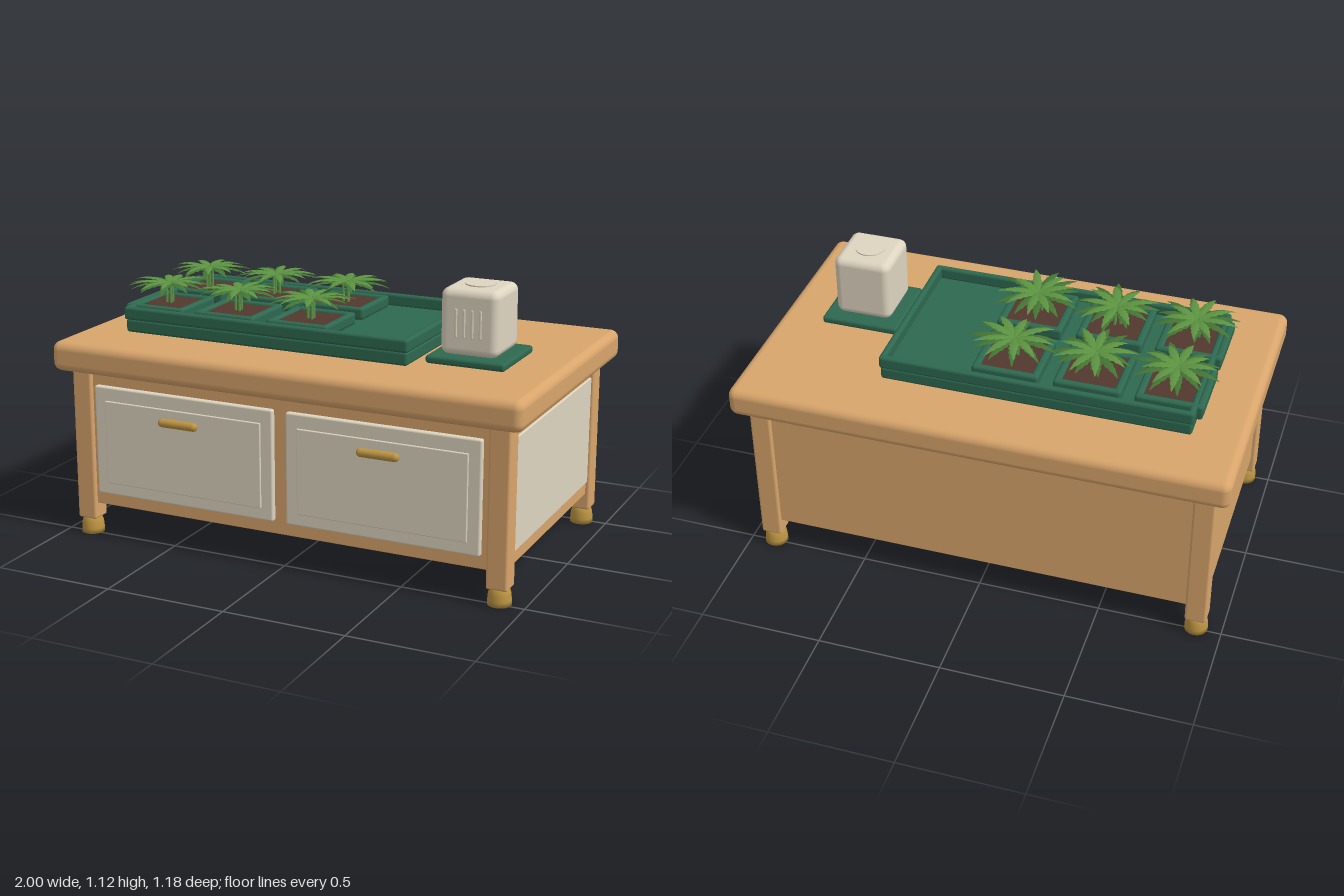
import * as THREE from 'three';
import { RoundedBoxGeometry } from 'three/addons/geometries/RoundedBoxGeometry.js';

const mat = (name, color, side = THREE.FrontSide) => {
  const m = new THREE.MeshStandardMaterial({ color, side });
  m.name = name;
  return m;
};

export function createModel() {
  const wood = mat('wood', 0xd8a56b);
  const cream = mat('cream', 0xded5c0);
  const green = mat('trayGreen', 0x2e6850);
  const brass = mat('brass', 0xbd9542);
  const soil = mat('soil', 0x52382e);
  const leafLight = mat('leafLight', 0x5c9341, THREE.DoubleSide);
  const leafDark = mat('leafDark', 0x447534, THREE.DoubleSide);
  const stemGreen = mat('stemGreen', 0x5f9449);

  const model = new THREE.Group();
  model.name = 'pottingTable';

  const add = (name, geometry, material, parent = model) => {
    const mesh = new THREE.Mesh(geometry, material);
    mesh.name = name;
    parent.add(mesh);
    return mesh;
  };
  // Rounded box given by its extents on each axis
  const box = (name, material, [x0, x1], [y0, y1], [z0, z1], r = 0.008, parent = model) => {
    const mesh = add(name, new RoundedBoxGeometry(x1 - x0, y1 - y0, z1 - z0, 3, r), material, parent);
    mesh.position.set((x0 + x1) / 2, (y0 + y1) / 2, (z0 + z1) / 2);
    return mesh;
  };

  // Table top and cabinet body
  box('tableTop', wood, [-1, 1], [0.7, 0.822], [-0.592, 0.592], 0.035);
  box('cabinetBody', wood, [-0.922, 0.922], [0.135, 0.696], [-0.517, 0.515], 0.004);
  box('sidePanel', cream, [0.91, 0.93], [0.19, 0.642], [-0.446, 0.446], 0.004);

  // Legs with tapered brass feet
  const footProfile = [[0, 0], [0.047, 0], [0.0465, 0.02], [0.044, 0.045], [0.039, 0.062], [0.033, 0.07], [0, 0.07]]
    .map(([r, y]) => new THREE.Vector2(r, y));
  for (const sx of [-1, 1]) for (const sz of [-1, 1]) {
    const leg = box('leg', wood, [-0.043, 0.043], [0.066, 0.705], [-0.043, 0.043], 0.01);
    leg.position.x = sx * 0.897;
    leg.position.z = sz * 0.49;
    add('foot', new THREE.LatheGeometry(footProfile, 24), brass).position.set(sx * 0.897, 0, sz * 0.49);
  }

  // Two drawers with raised panels and bar handles
  for (const cx of [-0.433, 0.428]) {
    const drawer = new THREE.Group();
    drawer.name = 'drawer';
    drawer.position.x = cx;
    model.add(drawer);
    box('drawerFront', cream, [-0.402, 0.402], [0.19, 0.645], [0.505, 0.536], 0.008, drawer);
    box('drawerPanel', cream, [-0.352, 0.352], [0.24, 0.588], [0.528, 0.543], 0.004, drawer);
    const handle = add('handle', new THREE.CapsuleGeometry(0.0175, 0.14, 6, 16), brass, drawer);
    handle.rotation.z = Math.PI / 2;
    handle.position.set(0, 0.541, 0.566);
  }

  // Rim of four bars around a rectangle
  const rim = (name, parent, [x0, x1], [y0, y1], [z0, z1], t, r) => {
    box(name, green, [x0, x1], [y0, y1], [z0, z0 + t], r, parent);
    box(name, green, [x0, x1], [y0, y1], [z1 - t, z1], r, parent);
    box(name, green, [x0, x0 + t], [y0, y1], [z0, z1], r, parent);
    box(name, green, [x1 - t, x1], [y0, y1], [z0, z1], r, parent);
  };

  // Seedling tray
  const tray = new THREE.Group();
  tray.name = 'tray';
  model.add(tray);
  box('trayBase', green, [-0.796, 0.448], [0.828, 0.884], [-0.346, 0.346], 0.012, tray);
  rim('trayRim', tray, [-0.802, 0.452], [0.88, 0.934], [-0.352, 0.352], 0.027, 0.012);

  // One pointed, toothed leaf along +x: arched midrib with folded edges
  const leafGeometry = (length, width, droop) => {
    const pos = [], index = [];
    const n = 12;
    for (let i = 0; i <= n; i++) {
      const t = i / n;
      const tooth = i % 2 ? 1 : 0.78;
      const w = i === n ? 0 : tooth * width * Math.pow(Math.sin(Math.PI * Math.pow(t, 0.85)), 0.9);
      const y = 0.016 * Math.sin(Math.PI * t * 0.8) - droop * t * t * t;
      pos.push(t * length, y - w * 0.3, -w, t * length, y, 0, t * length, y - w * 0.3, w);
      if (i < n) for (const a of [i * 3, i * 3 + 1]) index.push(a, a + 1, a + 3, a + 1, a + 4, a + 3);
    }
    const g = new THREE.BufferGeometry();
    g.setAttribute('position', new THREE.Float32BufferAttribute(pos, 3));
    g.setIndex(index);
    g.computeVertexNormals();
    return g;
  };

  let seed = 7;
  const rand = () => (seed = (seed * 16807) % 2147483647) / 2147483647;

  // Pots with soil, stems and two whorls of leaves
  for (const x of [-0.693, -0.372, -0.045]) for (const z of [-0.166, 0.163]) {
    const pot = new THREE.Group();
    pot.name = 'seedlingPot';
    pot.position.set(x, 0, z);
    model.add(pot);
    const s = 0.134;
    box('potBody', green, [-s + 0.004, s - 0.004], [0.868, 0.912], [-s + 0.004, s - 0.004], 0.012, pot);
    rim('potRim', pot, [-s, s], [0.885, 0.934], [-s, s], 0.03, 0.012);
    box('soil', soil, [-0.108, 0.108], [0.9, 0.924], [-0.108, 0.108], 0.004, pot);

    const plant = new THREE.Group();
    plant.name = 'plant';
    plant.rotation.y = rand() * Math.PI * 2;
    pot.add(plant);
    for (let i = 0; i < 3; i++) {
      const a = i * Math.PI * 2 / 3;
      add('stem', new THREE.CylinderGeometry(0.005, 0.006, 0.09, 8), stemGreen, plant)
        .position.set(Math.cos(a) * 0.014, 0.965, Math.sin(a) * 0.014);
    }
    const whorl = (count, y, length, width, droop, material, turn) => {
      for (let i = 0; i < count; i++) {
        const l = length * (0.82 + 0.25 * rand());
        const leaf = add('leaf', leafGeometry(l, width, droop * (0.6 + 0.6 * rand())), material, plant);
        leaf.position.y = y;
        leaf.rotation.y = (i + turn + 0.35 * (rand() - 0.5)) / count * Math.PI * 2;
      }
    };
    whorl(11, 1.0, 0.178, 0.02, 0.018, leafDark, 0);
    whorl(9, 1.007, 0.162, 0.019, 0.014, leafLight, 0.5);
  }

  // Small vented appliance on a base plate
  const device = new THREE.Group();
  device.name = 'appliance';
  model.add(device);
  box('applianceBase', green, [0.488, 0.81], [0.828, 0.86], [-0.055, 0.268], 0.012, device);
  box('applianceBody', cream, [0.53, 0.766], [0.86, 1.12], [-0.01, 0.23], 0.032, device);
  for (let i = 0; i < 4; i++) {
    const x = 0.597 + i * 0.033;
    box('ventBar', cream, [x - 0.006, x + 0.006], [0.932, 1.045], [0.222, 0.233], 0.005, device);
  }
  add('topButton', new THREE.CylinderGeometry(0.06, 0.06, 0.014, 32), cream, device)
    .position.set(0.648, 1.118, 0.107);

  return model;
}
